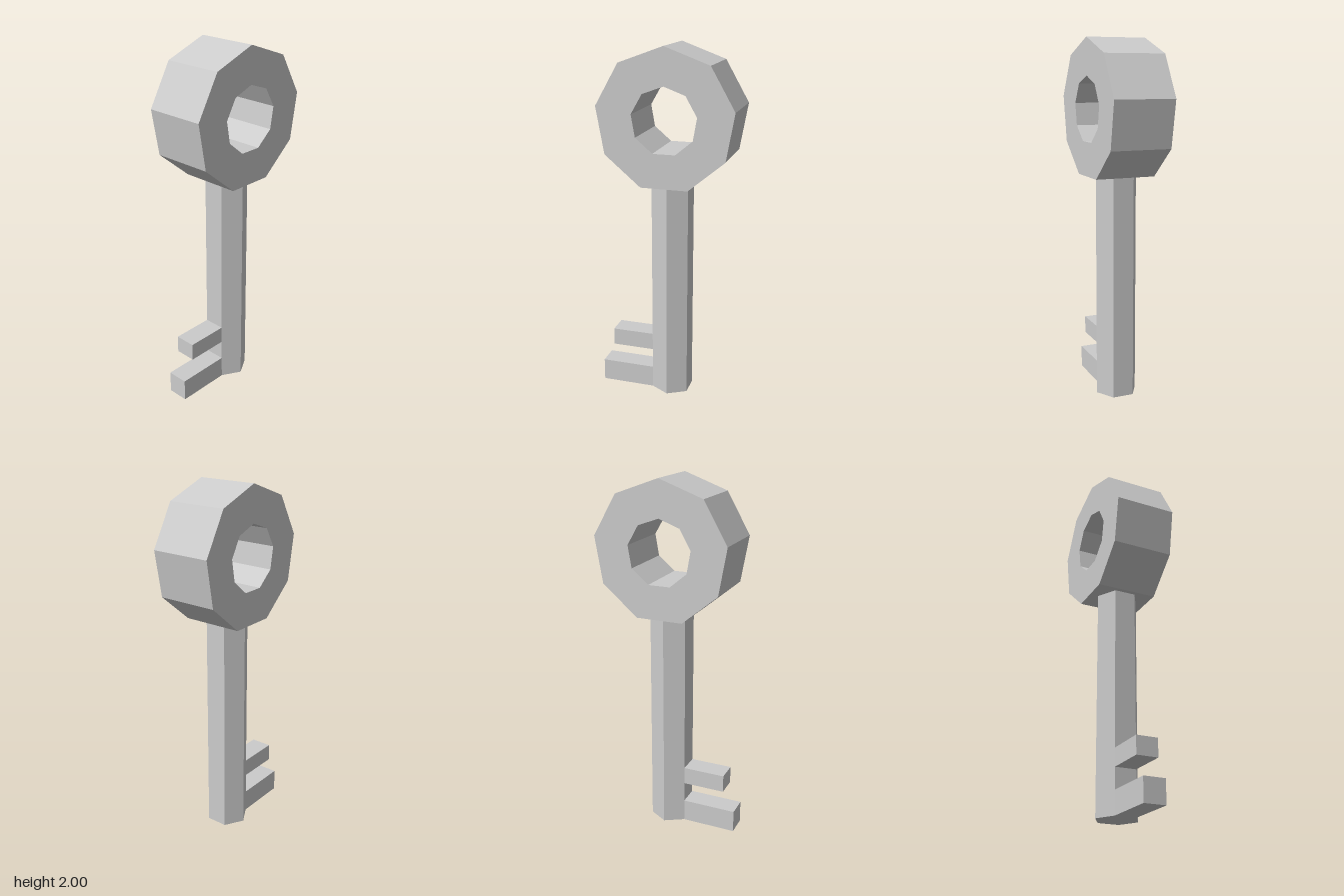
import * as THREE from 'three';

export function createModel() {
  const group = new THREE.Group();
  group.name = 'key';
  const material = new THREE.MeshStandardMaterial({ color: 0xcccccc, flatShading: true });
  const axisZ = -0.016; // the shaft and bow share this axis

  const add = (name, geometry, x, y, z) => {
    const mesh = new THREE.Mesh(geometry, material);
    mesh.name = name;
    mesh.position.set(x, y, z);
    group.add(mesh);
  };

  // Nine-sided outline with one corner pointing up
  const nonagon = (radius) => Array.from({ length: 9 }, (_, i) => {
    const a = Math.PI / 2 + (i * Math.PI * 2) / 9;
    return new THREE.Vector2(Math.cos(a) * radius, Math.sin(a) * radius);
  });

  // Bow: thick ring with its hole running along x
  const ring = new THREE.Shape(nonagon(0.3815));
  ring.holes.push(new THREE.Path(nonagon(0.181)));
  const bow = new THREE.ExtrudeGeometry(ring, { depth: 0.34, bevelEnabled: false });
  bow.translate(0, 0, -0.17).rotateY(Math.PI / 2);
  add('bow', bow, 0, 1.6185, axisZ);

  // Shaft: hexagonal rod with corners on the x axis
  const shaft = new THREE.CylinderGeometry(0.12, 0.12, 1.26, 6, 1, false, Math.PI / 2);
  add('shaft', shaft, 0, 0.63, axisZ);

  // Teeth: two bars running forward from the shaft's front face
  const toothBack = 0.087;
  const teeth = [
    ['lowerTooth', 0, 0.128, 0.396],
    ['upperTooth', 0.245, 0.345, 0.328],
  ];
  for (const [name, bottom, top, front] of teeth) {
    const geometry = new THREE.BoxGeometry(0.12, top - bottom, front - toothBack);
    add(name, geometry, 0, (bottom + top) / 2, (front + toothBack) / 2);
  }

  return group;
}
